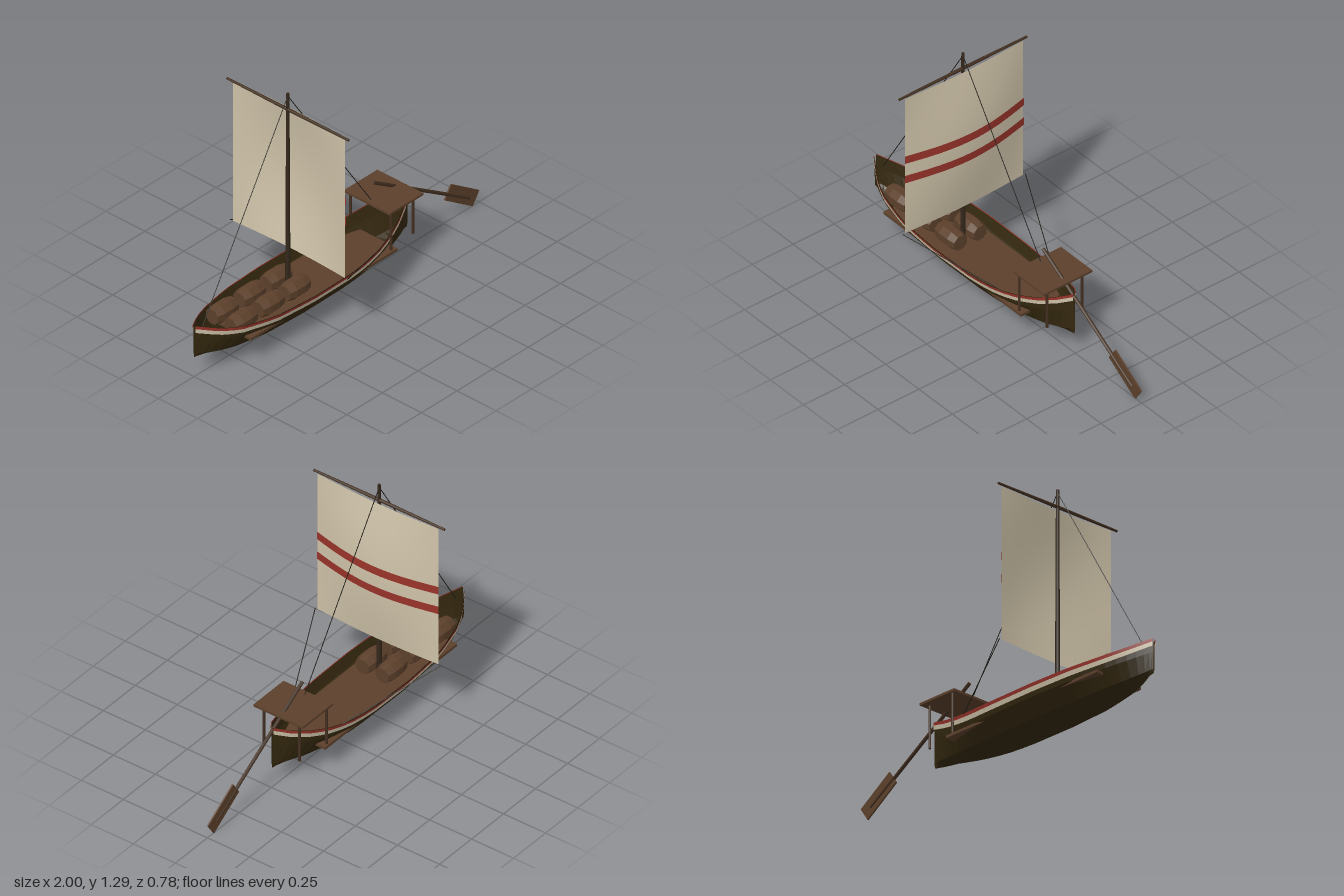
import * as THREE from 'three';

const mat = (name, color, extra = {}) => Object.assign(new THREE.MeshStandardMaterial({ color, ...extra }), { name });

export function createModel() {
  const boat = new THREE.Group();
  boat.name = 'sailingBoat';
  const both = { side: THREE.DoubleSide };
  const hullMat = mat('dark hull', 0x34280f, { ...both, flatShading: true });
  const deckMat = mat('deck wood', 0x5c402b, { flatShading: true });
  const sparMat = mat('spar wood', 0x443020);
  const mastMat = mat('mast wood', 0x33271a);
  const sailMat = mat('sail cloth', 0xcfc3a9, both);
  const redMat = mat('red paint', 0x98332a, both);
  const ropeMat = mat('rope', 0x1f1b15);

  const add = (name, geo, material, x = 0, y = 0, z = 0) => {
    const m = new THREE.Mesh(geo, material);
    m.name = name;
    m.position.set(x, y, z);
    boat.add(m);
    return m;
  };

  // Round rod between two points
  const rod = (name, a, b, r0, r1, material, sides = 8) => {
    const A = new THREE.Vector3(...a), B = new THREE.Vector3(...b);
    const m = add(name, new THREE.CylinderGeometry(r1, r0, A.distanceTo(B), sides), material);
    m.position.copy(A).add(B).multiplyScalar(0.5);
    m.quaternion.setFromUnitVectors(new THREE.Vector3(0, 1, 0), B.sub(A).normalize());
    return m;
  };

  // Surface through a grid of points given by fn(i, j)
  const surface = (rows, cols, fn) => {
    const pos = [], idx = [];
    for (let i = 0; i <= rows; i++) for (let j = 0; j <= cols; j++) pos.push(...fn(i, j));
    for (let i = 0; i < rows; i++) for (let j = 0; j < cols; j++) {
      const a = i * (cols + 1) + j, b = a + cols + 1;
      idx.push(a, b, a + 1, b, b + 1, a + 1);
    }
    const g = new THREE.BufferGeometry();
    g.setAttribute('position', new THREE.Float32BufferAttribute(pos, 3));
    g.setIndex(idx);
    g.computeVertexNormals();
    return g;
  };

  // Hull stations: x, half width, sheer height, keel height
  const stations = [
    [-1, 0.004, 0.297, 0.118], [-0.9, 0.07, 0.264, 0.098], [-0.8, 0.117, 0.243, 0.085],
    [-0.6, 0.164, 0.228, 0.074], [-0.35, 0.18, 0.223, 0.07], [-0.05, 0.176, 0.223, 0.07],
    [0.1, 0.158, 0.232, 0.074], [0.2, 0.137, 0.248, 0.08], [0.32, 0.1, 0.28, 0.09],
    [0.42, 0.056, 0.32, 0.105], [0.495, 0.004, 0.358, 0.12],
  ];
  const N = 28;
  const lerpAt = (x, k) => {
    let s = 0;
    while (s < stations.length - 2 && x > stations[s + 1][0]) s++;
    const a = stations[s], b = stations[s + 1];
    return THREE.MathUtils.lerp(a[k], b[k], (x - a[0]) / (b[0] - a[0]));
  };
  const xs = Array.from({ length: N + 1 }, (_, i) => -1 + 1.495 * (0.5 - 0.5 * Math.cos(Math.PI * i / N)));
  const station = i => ({ x: xs[i], w: lerpAt(xs[i], 1), top: lerpAt(xs[i], 2), keel: lerpAt(xs[i], 3) });

  // Section corners: width factor, height factor from keel to sheer
  const section = [[1, 1], [0.9, 0.62], [0.56, 0.12], [0, 0], [-0.56, 0.12], [-0.9, 0.62], [-1, 1]];
  add('hull', surface(N, 6, (i, j) => {
    const s = station(i);
    return [s.x, s.keel + (s.top - s.keel) * section[j][1], s.w * section[j][0]];
  }), hullMat);

  // Painted bands following the sheer on both sides
  const band = (name, hi, lo, material) => {
    for (const side of [1, -1]) add(name, surface(N, 1, (i, j) => {
      const s = station(i), drop = j ? lo : hi;
      return [s.x, s.top - drop, side * (s.w * (1 - 0.26 * drop / (s.top - s.keel)) + 0.005)];
    }), material);
  };
  band('redBand', 0, 0.016, redMat);
  band('whiteBand', 0.016, 0.038, sailMat);

  // Deck
  add('deck', new THREE.BoxGeometry(1.03, 0.014, 0.29), deckMat, -0.245, 0.164, 0);

  // Barrels lying lengthwise in two rows
  const barrelGeo = new THREE.LatheGeometry(
    [[0, -0.074], [0.042, -0.074], [0.052, -0.03], [0.052, 0.03], [0.042, 0.074], [0, 0.074]]
      .map(p => new THREE.Vector2(...p)), 8, Math.PI / 8);
  barrelGeo.rotateZ(Math.PI / 2);
  for (const x of [-0.735, -0.545, -0.36])
    for (const z of [-0.06, 0.06]) add('barrel', barrelGeo, deckMat, x, 0.225, z);

  // Mast and yard
  rod('mast', [-0.342, 0.16, 0], [-0.342, 1.295, 0], 0.013, 0.008, mastMat);
  for (const s of [1, -1]) rod('yard', [-0.342, 1.205, 0], [-0.342, 1.205, s * 0.39], 0.009, 0.006, sparMat);

  // Billowing sail, with stripes on the aft face
  const sailX = (y, z) => -0.334
    + (0.014 + 0.043 * Math.sin(Math.PI * (y - 0.4) / 0.8)) * Math.cos(Math.PI * z / 0.72);
  const cloth = (y0, y1, half, off, rows) => surface(rows, 12, (i, j) => {
    const y = y0 + (y1 - y0) * i / rows, z = half * (j / 6 - 1);
    return [sailX(y, z) + off, y, z];
  });
  add('sail', cloth(0.4, 1.2, 0.36, 0, 12), sailMat);
  for (const y of [0.7, 0.816]) add('sailStripe', cloth(y, y + 0.044, 0.362, 0.004, 3), redMat);

  // Rigging
  const rope = (a, b) => rod('rope', a, b, 0.0022, 0.0022, ropeMat, 5);
  rope([-0.342, 1.28, 0], [-0.94, 0.265, 0]);
  rope([-0.342, 1.28, 0], [0.243, 0.395, 0]);
  for (const s of [1, -1]) rope([-0.335, 0.4, s * 0.375], [0.16, 0.23, s * 0.143]);

  // Stern canopy on four posts
  add('canopyRoof', new THREE.BoxGeometry(0.235, 0.012, 0.294), deckMat, 0.33, 0.393, 0);
  for (const s of [1, -1]) {
    rod('canopyPost', [0.24, 0.165, s * 0.13], [0.24, 0.39, s * 0.13], 0.007, 0.007, sparMat);
    rod('canopyPost', [0.42, 0.165, s * 0.106], [0.42, 0.39, s * 0.106], 0.007, 0.007, sparMat);
  }

  // Steering oar
  rod('oarShaft', [0.258, 0.487, 0], [0.93, 0.064, 0], 0.009, 0.009, sparMat);
  const blade = add('oarBlade', new THREE.BoxGeometry(0.235, 0.083, 0.008), deckMat, 0.877, 0.106, 0);
  blade.rotation.z = -0.59;

  return boat;
}
